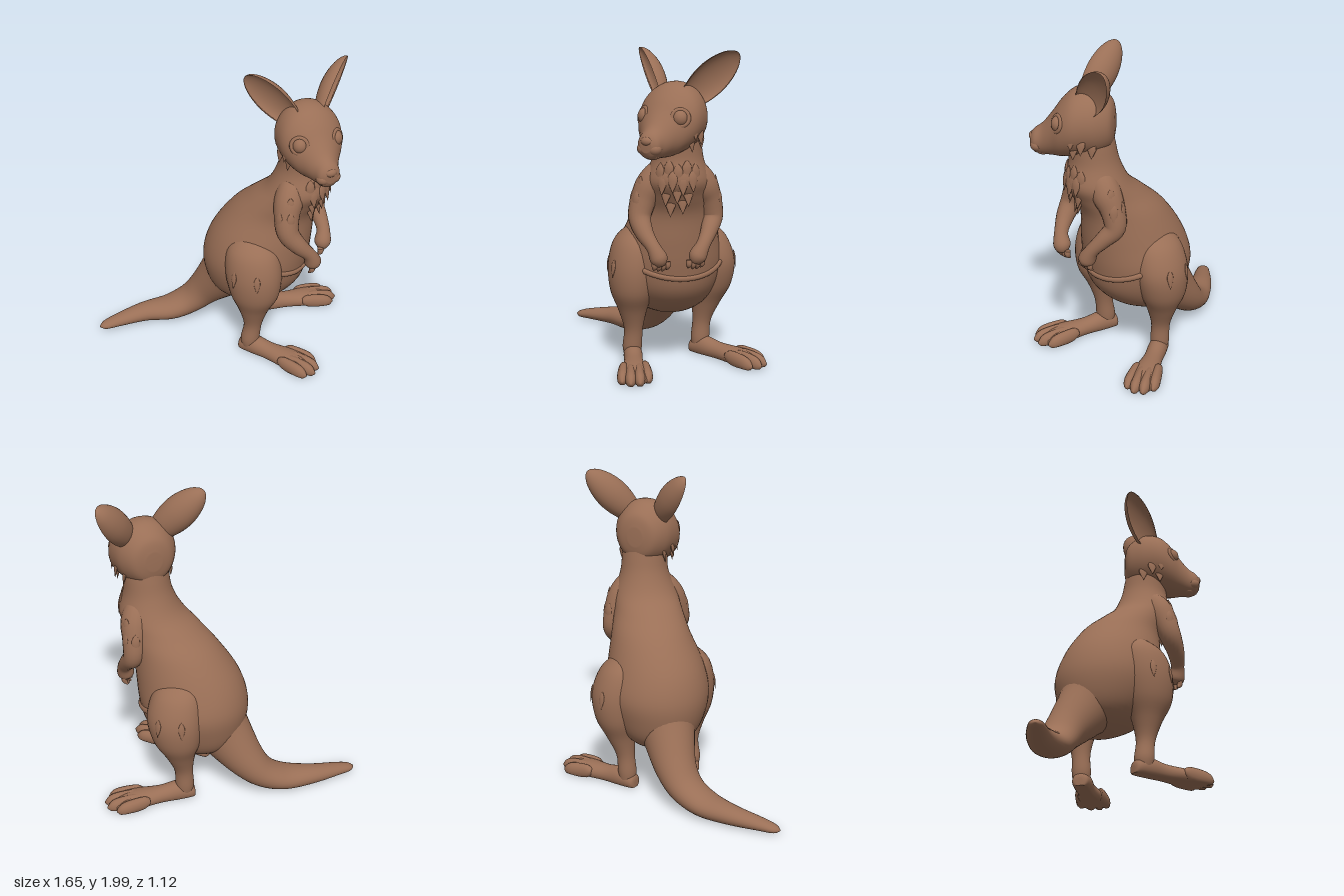
import * as THREE from 'three';

const fur = new THREE.MeshStandardMaterial({ color: 0x9a6f56 });
fur.name = 'brown fur';
const V = (x, y, z) => new THREE.Vector3(x, y, z);
const UP = V(0, 1, 0), X = V(1, 0, 0);
const AHEAD = V(0.75, 0, 0.66).normalize();      // the body's heading
const LEFT = UP.clone().cross(AHEAD);

// Closed skin over a list of equal-sized rings
function skin(rings) {
  const n = rings[0].length, pts = rings.flat(), idx = [];
  for (let i = 0; i < rings.length - 1; i++) {
    for (let j = 0; j < n; j++) {
      const a = i * n + j, b = i * n + (j + 1) % n;
      idx.push(a, b, a + n, b, b + n, a + n);
    }
  }
  for (const end of [0, rings.length - 1]) {
    const c = pts.length;
    pts.push(rings[end].reduce((s, p) => s.add(p), V(0, 0, 0)).divideScalar(n));
    for (let j = 0; j < n; j++) {
      const a = end * n + j, b = end * n + (j + 1) % n;
      if (end) idx.push(a, b, c); else idx.push(b, a, c);
    }
  }
  // turn the faces outward
  let vol = 0;
  const cr = V(0, 0, 0);
  for (let i = 0; i < idx.length; i += 3) {
    vol += pts[idx[i]].dot(cr.crossVectors(pts[idx[i + 1]], pts[idx[i + 2]]));
  }
  if (vol < 0) idx.reverse();
  const g = new THREE.BufferGeometry().setFromPoints(pts);
  g.setIndex(idx);
  g.computeVertexNormals();
  return g;
}

// Catmull-Rom through rows of numbers
function smooth(keys, steps) {
  const out = [];
  for (let i = 0; i < keys.length - 1; i++) {
    const [p, a, b, q] = [-1, 0, 1, 2].map(k => keys[Math.min(Math.max(i + k, 0), keys.length - 1)]);
    for (let s = 0; s < steps; s++) {
      const t = s / steps;
      out.push(a.map((_, k) => 0.5 * (2 * a[k] + (b[k] - p[k]) * t + (2 * p[k] - 5 * a[k] + 4 * b[k] - q[k]) * t * t
        + (3 * a[k] - p[k] - 3 * b[k] + q[k]) * t * t * t)));
    }
  }
  out.push(keys[keys.length - 1]);
  return out;
}

// Elliptical loft: keys are [x, y, z, radiusA, radiusB]; axes fixed, or swept around a reference
function loft(keys, { axes, ref, sides = 32, steps = 5, floor = -1 }) {
  const rows = smooth(keys, steps);
  const at = i => V(...rows[Math.min(Math.max(i, 0), rows.length - 1)].slice(0, 3));
  return skin(rows.map((r, i) => {
    let [A, B] = axes || [];
    if (!axes) {
      const T = at(i + 1).sub(at(i - 1)).normalize();
      A = T.clone().cross(ref).normalize();
      B = A.clone().cross(T);
    }
    return Array.from({ length: sides }, (_, j) => {
      const t = j / sides * Math.PI * 2;
      const p = at(i).addScaledVector(A, Math.max(r[3], 0.001) * Math.cos(t))
        .addScaledVector(B, Math.max(r[4] ?? r[3], 0.001) * Math.sin(t));
      p.y = Math.max(p.y, floor);
      return p;
    });
  }));
}

const TORSO = [
  [0.14, 0.28, -0.16, 0.01, 0.01], [0.14, 0.305, -0.16, 0.13, 0.13], [0.145, 0.38, -0.135, 0.25, 0.235],
  [0.16, 0.5, -0.11, 0.325, 0.3], [0.17, 0.65, -0.1, 0.348, 0.33], [0.195, 0.82, -0.07, 0.33, 0.3],
  [0.25, 1.0, -0.02, 0.275, 0.245], [0.305, 1.12, 0.06, 0.235, 0.215], [0.355, 1.22, 0.125, 0.2, 0.2],
  [0.367, 1.35, 0.138, 0.152, 0.155], [0.37, 1.48, 0.155, 0.14, 0.145], [0.37, 1.6, 0.17, 0.13, 0.13],
  [0.37, 1.7, 0.18, 0.04, 0.04]];

// Point on the torso at a height and an angle from straight ahead
function onTorso(y, angle, lift = 0) {
  const i = TORSO.findIndex(k => k[1] > y), a = TORSO[i - 1], b = TORSO[i];
  const k = a.map((v, n) => v + (b[n] - v) * (y - a[1]) / (b[1] - a[1]));
  return V(k[0], y, k[2]).addScaledVector(AHEAD, (k[3] + lift) * Math.cos(angle))
    .addScaledVector(LEFT, (k[4] + lift) * Math.sin(angle));
}

export function createModel() {
  const model = new THREE.Group();
  model.name = 'kangaroo';
  const add = (name, geometry) => {
    const m = new THREE.Mesh(geometry, fur);
    m.name = name;
    model.add(m);
    return m;
  };
  const blob = (name, p, sx, sy, sz) => {
    const m = add(name, new THREE.SphereGeometry(1, 20, 14));
    m.position.set(...p);
    m.scale.set(sx, sy, sz);
  };
  // Leaf-shaped lock of fur hanging down, facing along n
  const leaf = [[0, -0.55], [0.5, -0.28], [0.95, 0], [0.9, 0.2], [0.5, 0.38], [0, 0.5]].map(p => new THREE.Vector2(...p));
  const tuft = (p, n, len, w = 0.028) => {
    const m = add('furTuft', new THREE.LatheGeometry(leaf, 12));
    m.scale.set(w, len, w * 0.38);
    m.position.copy(p);
    m.rotation.set(-0.13, Math.atan2(n.x, n.z), 0, 'YXZ');
  };

  // Body and tail
  add('torso', loft(TORSO, { axes: [AHEAD, LEFT], sides: 48 }));
  add('tail', loft([[0.11, 0.64, -0.14, 0.15, 0.18], [0.075, 0.52, -0.185, 0.2, 0.215], [0.01, 0.39, -0.265, 0.165, 0.175],
    [-0.08, 0.24, -0.36, 0.132, 0.125], [-0.18, 0.135, -0.41, 0.12, 0.095], [-0.32, 0.075, -0.445, 0.11, 0.075],
    [-0.5, 0.06, -0.485, 0.077, 0.06], [-0.7, 0.04, -0.49, 0.052, 0.038], [-0.79, 0.027, -0.49, 0.036, 0.024],
    [-0.825, 0.024, -0.49, 0.004, 0.004]], { ref: UP, floor: 0 }));

  // Pouch rim
  const rim = [];
  for (let i = -6; i <= 6; i++) rim.push(onTorso(0.595 + 0.085 * (i / 6) ** 2, i / 6 * 1.15, -0.002));
  add('pouchRim', new THREE.TubeGeometry(new THREE.CatmullRomCurve3(rim), 48, 0.02, 8));

  // Legs with hind feet; thighs are flattened against the body
  const legs = [
    { side: 'right', foot: [0.028, 0.11], dir: V(0.56, 0, 0.83), keys: [[0.07, 0.905, 0.07, 0.01], [0.06, 0.88, 0.085, 0.09, 0.07],
      [0.045, 0.79, 0.115, 0.165, 0.13], [0.042, 0.64, 0.14, 0.185, 0.15], [0.045, 0.48, 0.15, 0.16, 0.135],
      [0.045, 0.35, 0.14, 0.1, 0.092], [0.045, 0.22, 0.13, 0.06], [0.03, 0.1, 0.12, 0.062], [0.03, 0.03, 0.12, 0.05]] },
    { side: 'left', foot: [0.312, -0.262], dir: V(0.985, 0, 0.17), keys: [[0.32, 0.9, -0.22, 0.01], [0.33, 0.87, -0.235, 0.09, 0.07],
      [0.355, 0.79, -0.255, 0.15, 0.125], [0.378, 0.64, -0.275, 0.175, 0.15], [0.37, 0.48, -0.285, 0.15, 0.135],
      [0.345, 0.35, -0.278, 0.095], [0.32, 0.22, -0.27, 0.06], [0.312, 0.1, -0.265, 0.06], [0.312, 0.03, -0.265, 0.05]] }];
  for (const { side, foot, dir, keys } of legs) {
    add(side + 'Leg', loft(keys.map(([x, y, z, a, b = a]) => [x, y, z, a, b]), { axes: [AHEAD, LEFT] }));
    const across = UP.clone().cross(dir.normalize());
    const spot = (u, v, y) => V(foot[0], y, foot[1]).addScaledVector(dir, u).addScaledVector(across, v);
    const sole = [[-0.068, 0.02, 0.05], [-0.05, 0.05, 0.085], [0.04, 0.06, 0.115], [0.16, 0.06, 0.095],
      [0.3, 0.085, 0.09], [0.4, 0.098, 0.078], [0.46, 0.07, 0.055]];
    add(side + 'Foot', loft(sole.map(([u, w, top]) => [...spot(u, 0, top * 0.4).toArray(), w, top * 0.6]),
      { axes: [across, UP], floor: 0 }));
    [[-0.073, 0.385], [-0.026, 0.42], [0.026, 0.415], [0.073, 0.365]].forEach(([v, u]) => {
      const toe = [[-0.12, 0.02, 0.02], [-0.08, 0.03, 0.045], [0.02, 0.035, 0.05], [0.07, 0.027, 0.038], [0.1, 0.005, 0.006]];
      add(side + 'Toe', loft(toe.map(([d, w, h]) => [...spot(u + d, v * (1 + d), 0.034 - d * 0.12).toArray(), w, h]),
        { axes: [across, UP], sides: 14, floor: 0 }));
    });
    // thigh fur
    const out = LEFT.clone().multiplyScalar(side === 'left' ? 1 : -1);
    for (const f of [-0.5, 0.35]) {
      const n = out.clone().addScaledVector(AHEAD, f).normalize();
      tuft(V(...keys[3]).addScaledVector(out, keys[3][4] * Math.sqrt(1 - f * f)).addScaledVector(AHEAD, keys[3][3] * f), n, 0.12, 0.022);
    }
  }

  // Arms with fingers
  const arms = [
    { side: 'right', keys: [[0.33, 1.31, 0.17, 0.03], [0.285, 1.265, 0.19, 0.08], [0.235, 1.18, 0.235, 0.092], [0.205, 1.09, 0.27, 0.08],
      [0.2, 0.99, 0.305, 0.07], [0.255, 0.905, 0.34, 0.056], [0.325, 0.83, 0.355, 0.043], [0.36, 0.76, 0.345, 0.054], [0.37, 0.72, 0.335, 0.03]] },
    { side: 'left', keys: [[0.42, 1.31, 0.1, 0.03], [0.45, 1.265, 0.09, 0.08], [0.49, 1.18, 0.05, 0.092], [0.515, 1.09, 0.01, 0.076],
      [0.53, 0.98, -0.005, 0.066], [0.545, 0.905, 0.06, 0.052], [0.545, 0.83, 0.13, 0.043], [0.525, 0.76, 0.165, 0.054], [0.515, 0.72, 0.175, 0.03]] }];
  for (const { side, keys } of arms) {
    add(side + 'Arm', loft(keys, { ref: AHEAD, sides: 20 }));
    const [x, y, z] = keys[8];
    for (let i = -1.5; i <= 1.5; i++) {
      const p = V(x, y + 0.02, z).addScaledVector(LEFT, i * 0.027);
      const tip = p.clone().addScaledVector(AHEAD, -0.02).add(V(0, -0.065 + Math.abs(i) * 0.008, 0));
      const mid = p.clone().lerp(tip, 0.55).addScaledVector(AHEAD, 0.012);
      add(side + 'Finger', loft([[...p, 0.019], [...mid, 0.018], [...tip, 0.005]], { ref: AHEAD, sides: 10 }));
    }
    // shoulder and elbow fur
    const out = LEFT.clone().multiplyScalar(side === 'left' ? 1 : -1);
    for (const [k, f] of [[2, 0.4], [3, -0.5], [3, 0.7]]) {
      const n = out.clone().addScaledVector(AHEAD, f).normalize();
      tuft(V(...keys[k]).addScaledVector(n, keys[k][3] * 0.92), n, 0.13);
    }
  }

  // Chest fur, turned part of the way towards the face
  for (const [y, count] of [[1.27, 5], [1.21, 4], [1.14, 3], [1.07, 2]]) {
    for (let i = 0; i < count; i++) {
      const a = (i - (count - 1) / 2) * 0.32 - 0.3, p = onTorso(y + (i % 2) * 0.02, a, -0.003);
      tuft(p, AHEAD.clone().applyAxisAngle(UP, a), 0.13, 0.032);
    }
  }

  // Head, turned to the front
  const HX = 0.37;
  add('head', loft([[0.008, 1.59, 0.05, 0.06], [0.03, 1.59, 0.125, 0.14], [0.1, 1.597, 0.178, 0.195], [0.17, 1.6, 0.198, 0.21],
    [0.25, 1.585, 0.2, 0.205], [0.32, 1.55, 0.17, 0.178], [0.38, 1.51, 0.122, 0.135], [0.44, 1.473, 0.084, 0.098],
    [0.49, 1.46, 0.068, 0.074], [0.515, 1.462, 0.035, 0.04]].map(([z, y, a, b]) => [HX, y, z, a, b]), { axes: [X, UP], sides: 40 }));
  blob('nose', [HX, 1.487, 0.502], 0.038, 0.026, 0.024);
  blob('lowerLip', [HX, 1.396, 0.44], 0.05, 0.024, 0.045);
  for (const s of [-1, 1]) {
    blob('muzzlePad', [HX + s * 0.034, 1.44, 0.472], 0.044, 0.038, 0.042);
    blob('eye', [HX + s * 0.118, 1.61, 0.325], 0.046, 0.05, 0.046);
    const lid = add('eyelid', new THREE.TorusGeometry(0.048, 0.015, 8, 28));
    lid.position.set(HX + s * 0.124, 1.612, 0.333);
    lid.rotation.set(-0.25, s * 0.6, 0, 'YXZ');
    // cheek fur
    for (const [x, y, z] of [[0.178, 1.53, 0.25], [0.18, 1.5, 0.19], [0.148, 1.46, 0.24], [0.15, 1.47, 0.13]]) {
      tuft(V(HX + s * x, y, z), V(s, 0, 0.2), 0.11, 0.03);
    }
    // cupped ear: crescent sections along a leaning axis
    const root = V(0.07, 1.7, 0.172), axis = V(0.25, 0.288, -0.16);
    const open = V(0.7, -0.221, 0.7).normalize(), wide = axis.clone().normalize().cross(open);
    const profile = [[0, 0.07], [0.12, 0.083], [0.3, 0.1], [0.5, 0.105], [0.7, 0.092], [0.87, 0.064], [0.97, 0.03], [1, 0.004]];
    add('ear', skin(smooth(profile, 4).map(([t, w]) => Array.from({ length: 28 }, (_, j) => {
      const a = j / 28 * Math.PI * 2, depth = Math.sin(a) > 0 ? -0.85 : -0.55;
      const p = root.clone().addScaledVector(axis, t).addScaledVector(wide, w * Math.cos(a))
        .addScaledVector(open, w * depth * Math.abs(Math.sin(a)) + 0.035);
      p.x = HX + s * p.x;
      return p;
    }))));
  }
  return model;
}
